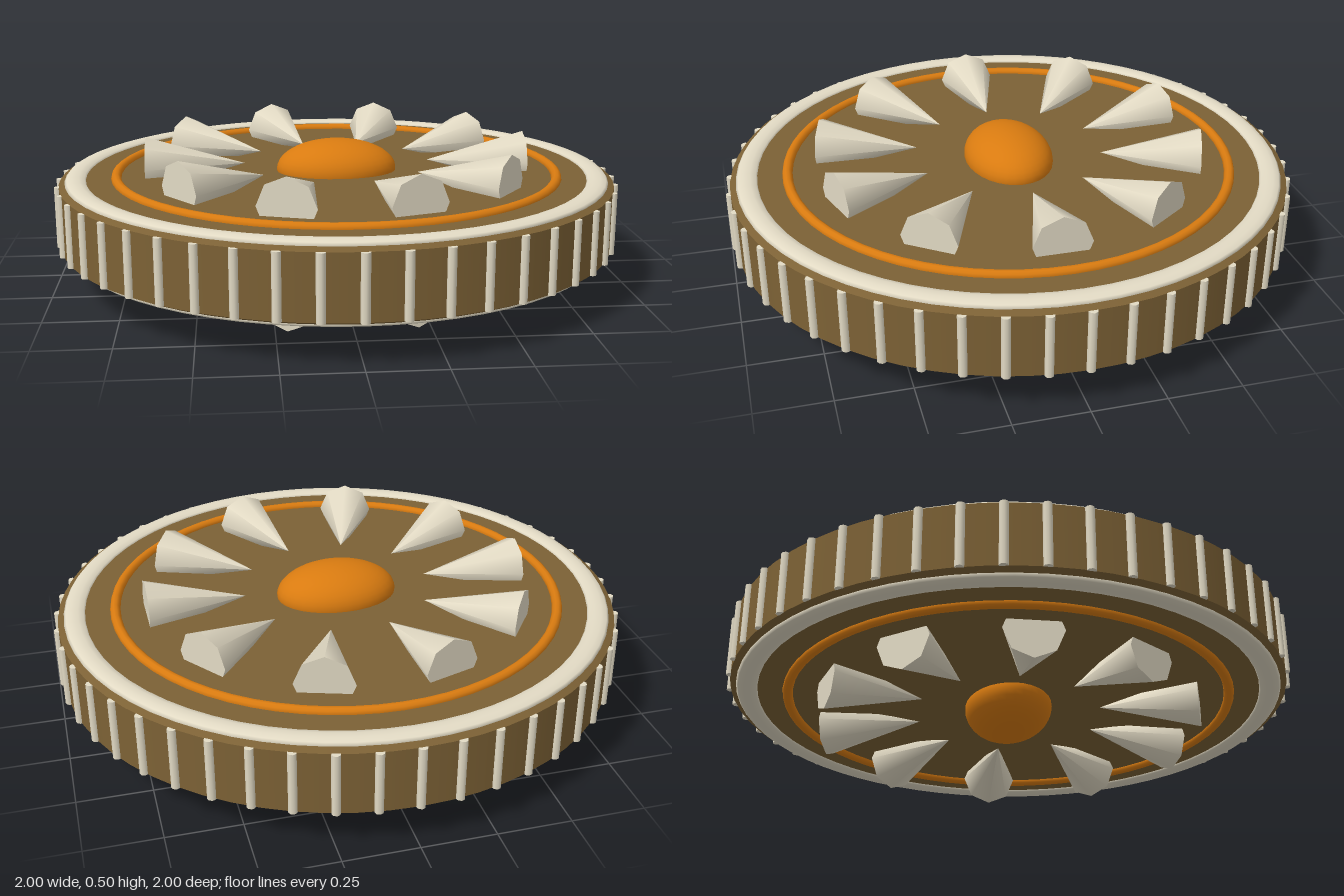
import * as THREE from 'three';

const MID = 0.2525; // height of the disc's middle plane

export function createModel() {
  const paint = (name, color) => {
    const m = new THREE.MeshStandardMaterial({ color });
    m.name = name;
    return m;
  };
  const brown = paint('brown', 0x7c6135);
  const cream = paint('cream', 0xe2dac4);
  const orange = paint('orange', 0xd97b10);

  const model = new THREE.Group();
  model.name = 'spokedDisc';
  const add = (parent, name, geometry, material) => {
    const mesh = new THREE.Mesh(geometry, material);
    mesh.name = name;
    parent.add(mesh);
    return mesh;
  };

  // Disc body with bevelled rim; doubled corners keep the edges sharp
  const corners = [[0, -0.122], [0.955, -0.122], [0.984, -0.107], [0.984, 0.107], [0.955, 0.122], [0, 0.122]];
  for (let i = 0; i < corners.length - 1; i++) {
    const pts = [corners[i], corners[i + 1]].map(([r, y]) => new THREE.Vector2(r, y));
    add(model, 'discBody', new THREE.LatheGeometry(pts, 64), brown).position.y = MID;
  }

  // Grip ribs around the rim
  const ribGeo = new THREE.CylinderGeometry(0.015, 0.015, 0.215, 8);
  for (let i = 0; i < 48; i++) {
    const a = (i / 48) * Math.PI * 2;
    add(model, 'rimRib', ribGeo, cream).position.set(Math.cos(a) * 0.984, MID, Math.sin(a) * 0.984);
  }

  // Everything on one face of the disc, measured from the middle plane
  const outerGeo = new THREE.TorusGeometry(0.925, 0.038, 10, 64).rotateX(Math.PI / 2).scale(1, 0.4, 1);
  const innerGeo = new THREE.TorusGeometry(0.785, 0.018, 10, 64).rotateX(Math.PI / 2);
  const domeGeo = new THREE.SphereGeometry(1, 32, 20).scale(0.215, 0.105, 0.155);
  const coneGeo = new THREE.ConeGeometry(0.1, 0.35, 8).rotateZ(Math.PI / 2).translate(0.505, 0, 0);

  const buildFace = (name) => {
    const face = new THREE.Group();
    face.name = name;
    add(face, 'outerRing', outerGeo, cream).position.y = 0.119;
    add(face, 'innerRing', innerGeo, orange).position.y = 0.122;
    add(face, 'centreDome', domeGeo, orange).position.y = 0.13;
    // Ten cones pointing at the centre
    for (let i = 0; i < 10; i++) {
      const cone = add(face, 'cone', coneGeo, cream);
      cone.position.y = 0.1525;
      cone.rotation.y = (i / 10) * Math.PI * 2;
    }
    face.position.y = MID;
    model.add(face);
    return face;
  };
  buildFace('topFace');
  buildFace('bottomFace').rotation.x = Math.PI;

  return model;
}
